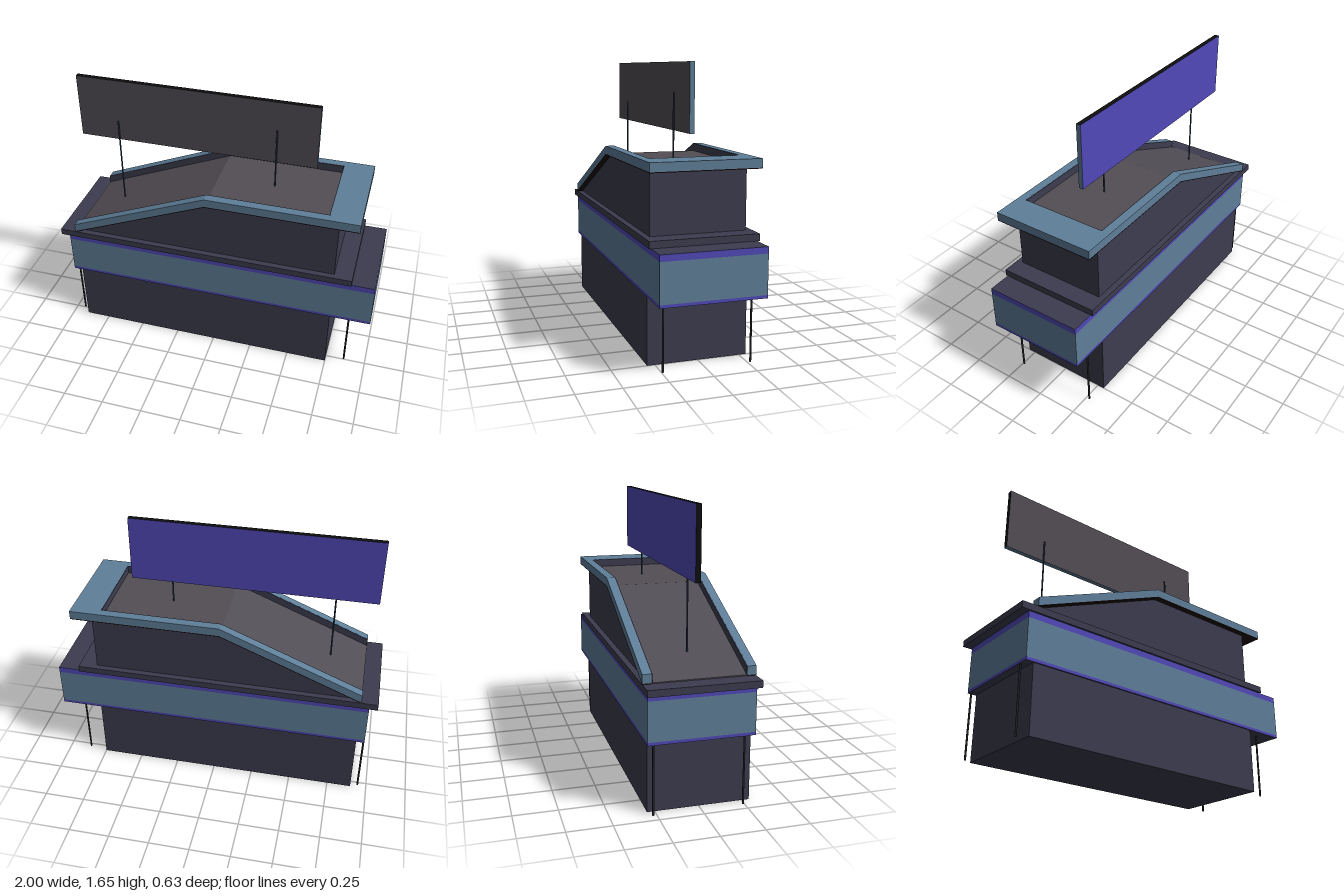
import * as THREE from 'three';

const mat = (name, color) => {
  const m = new THREE.MeshStandardMaterial({ color });
  m.name = name;
  return m;
};

export function createModel() {
  const model = new THREE.Group();
  model.name = 'building';

  const slate = mat('slate wall', 0x3c3c4f);
  const blue = mat('blue trim', 0x5f7f99);
  const purple = mat('purple stripe', 0x5149b8);
  const grey = mat('grey roof', 0x524e55);
  const brown = mat('brown soffit', 0x1f0d0c);
  const black = mat('black metal', 0x0e0e0e);
  const steel = mat('steel pole', 0x2c3e50);
  const iron = mat('iron post', 0x26262b);

  const add = (name, geometry, material) => {
    const mesh = new THREE.Mesh(geometry, material);
    mesh.name = name;
    model.add(mesh);
    return mesh;
  };
  // Box from its limits on each axis
  const box = (name, [x0, x1], [y0, y1], [z0, z1], material) =>
    add(name, new THREE.BoxGeometry(x1 - x0, y1 - y0, z1 - z0), material)
      .position.set((x0 + x1) / 2, (y0 + y1) / 2, (z0 + z1) / 2);
  // Side profile (x, y) extruded from z0 to z1
  const prism = (name, points, z0, z1, material) => {
    const shape = new THREE.Shape(points.map(([x, y]) => new THREE.Vector2(x, y)));
    const geometry = new THREE.ExtrudeGeometry(shape, { depth: z1 - z0, bevelEnabled: false });
    add(name, geometry.translate(0, 0, z0), material);
  };
  const pole = (name, x, y0, y1, z, radius, material) =>
    add(name, new THREE.CylinderGeometry(radius, radius, y1 - y0, 8), material)
      .position.set(x, (y0 + y1) / 2, z);

  // Ground floor
  box('base', [-0.9, 0.75], [0, 0.4], [-0.293, 0.295], slate);

  // Fascia band with stripes, dark above and below
  const banded = (side) => [side, side, slate, slate, side, side];
  const bandX = [-0.95, 1], bandZ = [-0.302, 0.304];
  box('lowerStripe', bandX, [0.4, 0.418], bandZ, banded(purple));
  box('fascia', bandX, [0.418, 0.645], bandZ, banded(blue));
  box('upperStripe', bandX, [0.645, 0.682], bandZ, banded(purple));

  // Ledge and sloped upper storey
  box('ledge', [-1, 0.86], [0.682, 0.722], [-0.316, 0.316], slate);
  prism('upperStorey', [[-0.9, 0.722], [0.75, 0.722], [0.75, 1.08], [-0.04, 1.08]], -0.28, 0.28, slate);

  // Strip that follows the roof line, between two heights above it
  const roofStrip = (low, high, end) => [
    [-0.9, 0.722 + low], [-0.042, 1.08 + low], [end, 1.08 + low],
    [end, 1.08 + high], [-0.042, 1.08 + high], [-0.9, 0.722 + high],
  ];
  prism('roofDeck', roofStrip(0.001, 0.007, 0.69), -0.262, 0.262, grey);

  // Raised rim: two sides and the flat end, with soffit and inner lining
  for (const s of [1, -1]) {
    const span = (a, b) => (s > 0 ? [a, b] : [-b, -a]);
    prism('rimSide', roofStrip(0.005, 0.055, 0.69), ...span(0.267, 0.317), blue);
    prism('rimSoffit', roofStrip(0, 0.005, 0.69), ...span(0.267, 0.317), brown);
    prism('rimLining', roofStrip(0.007, 0.0545, 0.687), ...span(0.262, 0.267), slate);
  }
  box('rimEnd', [0.69, 0.872], [1.085, 1.135], [-0.317, 0.317], blue);
  box('rimEndSoffit', [0.69, 0.872], [1.08, 1.085], [-0.317, 0.317], brown);
  box('rimEndLining', [0.686, 0.69], [1.087, 1.1345], [-0.262, 0.262], slate);

  // Posts under the fascia
  for (const x of [-0.945, 0.865])
    for (const z of [0.242, -0.27]) pole('supportPost', x, 0, 0.4, z, 0.006, iron);

  // Roof poles and sign board
  pole('signPole', -0.682, 0.8, 1.38, -0.006, 0.005, steel);
  pole('signPole', 0.31, 1.07, 1.47, -0.006, 0.005, steel);
  box('signBoard', [-0.935, 0.556], [1.248, 1.648], [-0.045, -0.016],
    [blue, black, black, blue, grey, purple]);

  return model;
}
